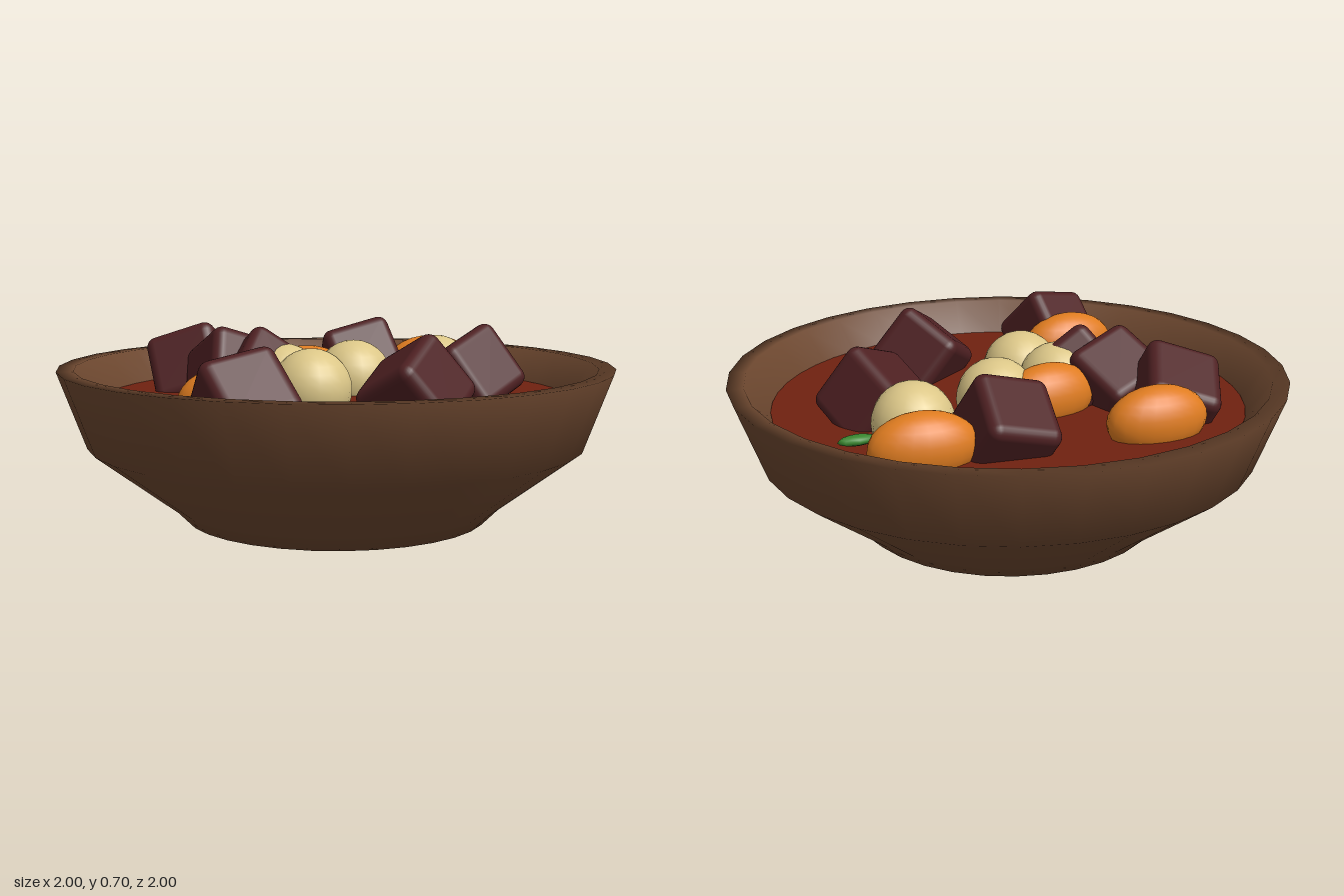
import * as THREE from 'three';
import { RoundedBoxGeometry } from 'three/addons/geometries/RoundedBoxGeometry.js';

const paint = (name, color, side = THREE.FrontSide) => {
  const m = new THREE.MeshStandardMaterial({ color, side });
  m.name = name;
  return m;
};

export function createModel() {
  const model = new THREE.Group();
  model.name = 'stewBowl';

  const clay = paint('clay brown', 0x6b462e, THREE.DoubleSide);
  const sauce = paint('broth red', 0x6f2110);
  const beef = paint('meat maroon', 0x4e2022);
  const orange = paint('carrot orange', 0xdf7c20);
  const cream = paint('potato cream', 0xdcc788);
  const green = paint('herb green', 0x38852e);

  const add = (name, geometry, material, [x, y, z], [rx, ry, rz] = [0, 0, 0], scale = [1, 1, 1]) => {
    const mesh = new THREE.Mesh(geometry, material);
    mesh.name = name;
    mesh.position.set(x, y, z);
    mesh.rotation.set(rx, ry, rz, 'YXZ');
    mesh.scale.set(...scale);
    model.add(mesh);
  };

  // Bowl: foot, flared side, rim and inner wall
  const profile = [
    [0, 0], [0.55, 0], [0.61, 0.06], [0.9, 0.28], [1, 0.555],
    [0.94, 0.555], [0.85, 0.43], [0.8, 0.3], [0.5, 0.08], [0, 0.05],
  ].map(([r, y]) => new THREE.Vector2(r, y));
  add('bowl', new THREE.LatheGeometry(profile, 32), clay, [0, 0, 0]);

  // Broth surface
  add('broth', new THREE.CircleGeometry(0.853, 48), sauce, [0, 0.44, 0], [-Math.PI / 2, 0, 0]);

  // Meat cubes: position, then tilt and yaw
  const cube = new RoundedBoxGeometry(0.27, 0.27, 0.27, 3, 0.04);
  [
    [[-0.47, 0.5, -0.365], [-0.45, -0.5, 0.35]],
    [[-0.36, 0.5, -0.14], [-0.5, 0.4, -0.35]],
    [[-0.27, 0.49, -0.03], [-0.65, 0.45, 0.8]],
    [[0.21, 0.5, -0.425], [-0.55, -0.15, 0.3]],
    [[0.495, 0.5, 0.045], [-0.5, 0.35, 0.4]],
    [[0.17, 0.5, 0.43], [-0.5, 0.6, 0.5]],
    [[-0.43, 0.49, 0.52], [-0.75, 0.1, 0.25]],
  ].forEach(([p, r]) => add('meatCube', cube, beef, p, r));

  // Potatoes
  const ball = new THREE.SphereGeometry(1, 20, 14);
  [[-0.13, 0.165], [0.09, -0.095], [0.447, -0.207], [-0.19, -0.02]].forEach(([x, z]) =>
    add('potato', ball, cream, [x, 0.49, z], [0, 0, 0], [0.143, 0.143, 0.143]));

  // Carrot pieces, long axis along x
  [
    [-0.31, -0.527, -0.05], [0.5, -0.432, -0.12], [-0.08, -0.16, 0.08], [-0.445, 0.39, 0],
  ].forEach(([x, z, yaw]) =>
    add('carrot', ball, orange, [x, 0.49, z], [0, yaw, 0], [0.185, 0.12, 0.1]));

  // Herb leaves
  const leaf = new THREE.SphereGeometry(1, 8, 6);
  [
    [0.617, -0.543, 0], [0.655, -0.235, 0], [0.08, -0.287, 0.1], [0.61, -0.48, 0.5], [-0.31, -0.39, 0.3],
  ].forEach(([x, z, yaw]) =>
    add('herbLeaf', leaf, green, [x, 0.47, z], [0, yaw, 0], [0.07, 0.018, 0.03]));

  return model;
}
